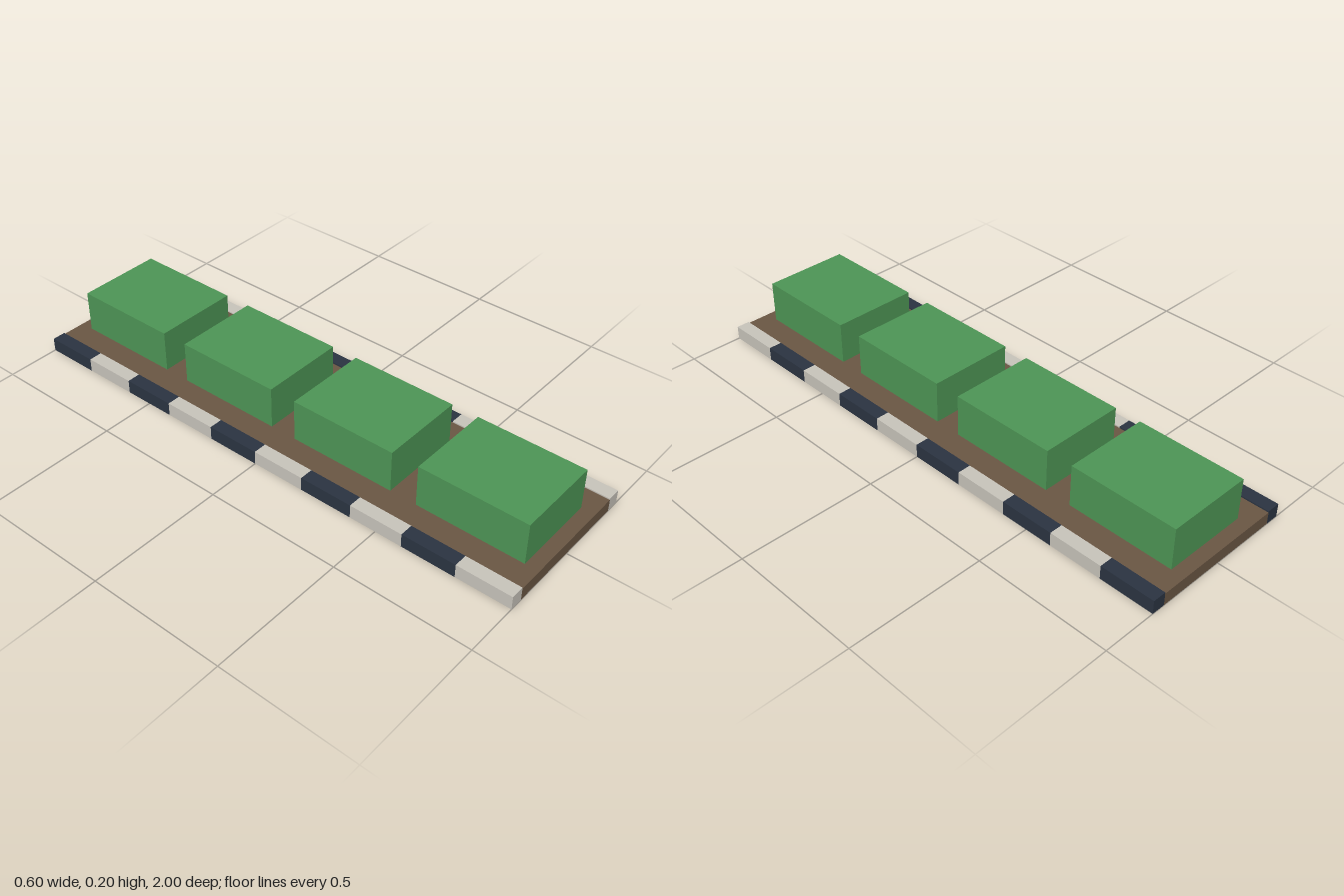
import * as THREE from 'three';

export function createModel() {
  const group = new THREE.Group();
  const material = (name, color) => Object.assign(new THREE.MeshStandardMaterial({ color }), { name });
  const soil = material('soil brown', 0x6b5744);
  const leaf = material('hedge green', 0x4e9656);
  const pale = material('kerb pale', 0xc9c5bc);
  const dark = material('kerb dark', 0x2b3442);

  // Box standing on height y
  const box = (name, mat, w, h, d, x, y, z) => {
    const mesh = new THREE.Mesh(new THREE.BoxGeometry(w, h, d), mat);
    mesh.name = name;
    mesh.position.set(x, y + h / 2, z);
    group.add(mesh);
  };

  // Soil bed between the kerbs
  box('soilBed', soil, 0.5, 0.045, 2, 0, 0, 0);

  // Kerb blocks in alternating colours, pale at the front end
  for (const side of [-1, 1]) {
    for (let i = 0; i < 10; i++) {
      box(side > 0 ? 'leftKerbBlock' : 'rightKerbBlock', i % 2 ? dark : pale,
        0.05, 0.05, 0.2, side * 0.275, 0, 0.9 - i * 0.2);
    }
  }

  // Four clipped hedges
  for (let i = 0; i < 4; i++) {
    box('hedge', leaf, 0.32, 0.155, 0.4, 0, 0.045, 0.75 - i * 0.5);
  }

  return group;
}
